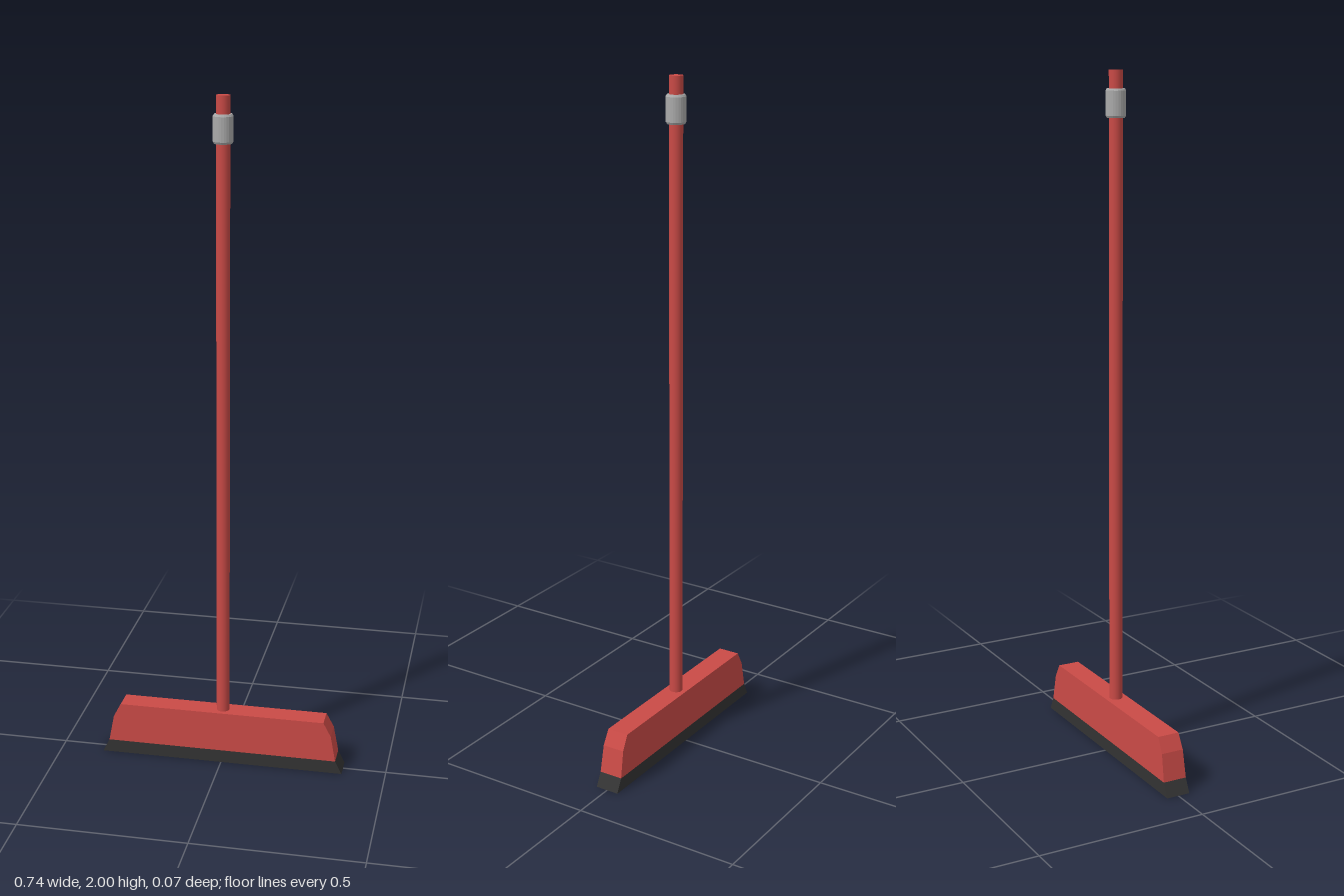
import * as THREE from 'three';

const RED = 0xc94a46, DARK = 0x333333, GREY = 0xaaaaaa;

function part(name, geometry, color, flat = false) {
  const mesh = new THREE.Mesh(geometry, new THREE.MeshStandardMaterial({ color, flatShading: flat }));
  mesh.name = name;
  return mesh;
}

// Symmetric block: right-hand profile of [x, y] points, thickness going from zBottom to zTop
function block(profile, zBottom, zTop) {
  const points = [...profile, ...[...profile].reverse().map(([x, y]) => [-x, y])];
  const shape = new THREE.Shape(points.map(([x, y]) => new THREE.Vector2(x, y)));
  const geometry = new THREE.ExtrudeGeometry(shape, { depth: 2, bevelEnabled: false }).translate(0, 0, -1);
  const y0 = profile[0][1], y1 = profile[profile.length - 1][1];
  const pos = geometry.attributes.position;
  for (let i = 0; i < pos.count; i++) {
    const t = (pos.getY(i) - y0) / (y1 - y0);
    pos.setZ(i, pos.getZ(i) * THREE.MathUtils.lerp(zBottom, zTop, t));
  }
  geometry.computeVertexNormals();
  return geometry;
}

export function createModel() {
  const broom = new THREE.Group();
  broom.name = 'broom';

  // Flared bristle strip and shouldered head
  broom.add(part('bristles', block([[0.37, 0], [0.35, 0.04]], 0.036, 0.036), DARK, true));
  broom.add(part('head', block([[0.35, 0.04], [0.335, 0.12], [0.312, 0.163]], 0.036, 0.033), RED, true));

  // Long round handle
  const handle = part('handle', new THREE.CylinderGeometry(0.0195, 0.0195, 1.85, 24), RED);
  handle.position.y = 1.075;
  broom.add(handle);

  // Collar sleeve near the top, with softly chamfered ends
  const profile = [[0.019, 1.87], [0.025, 1.87], [0.0285, 1.876], [0.0285, 1.944], [0.025, 1.95], [0.019, 1.95]];
  const collar = new THREE.LatheGeometry(profile.map(([r, y]) => new THREE.Vector2(r, y)), 24);
  broom.add(part('collar', collar, GREY, true));

  return broom;
}
